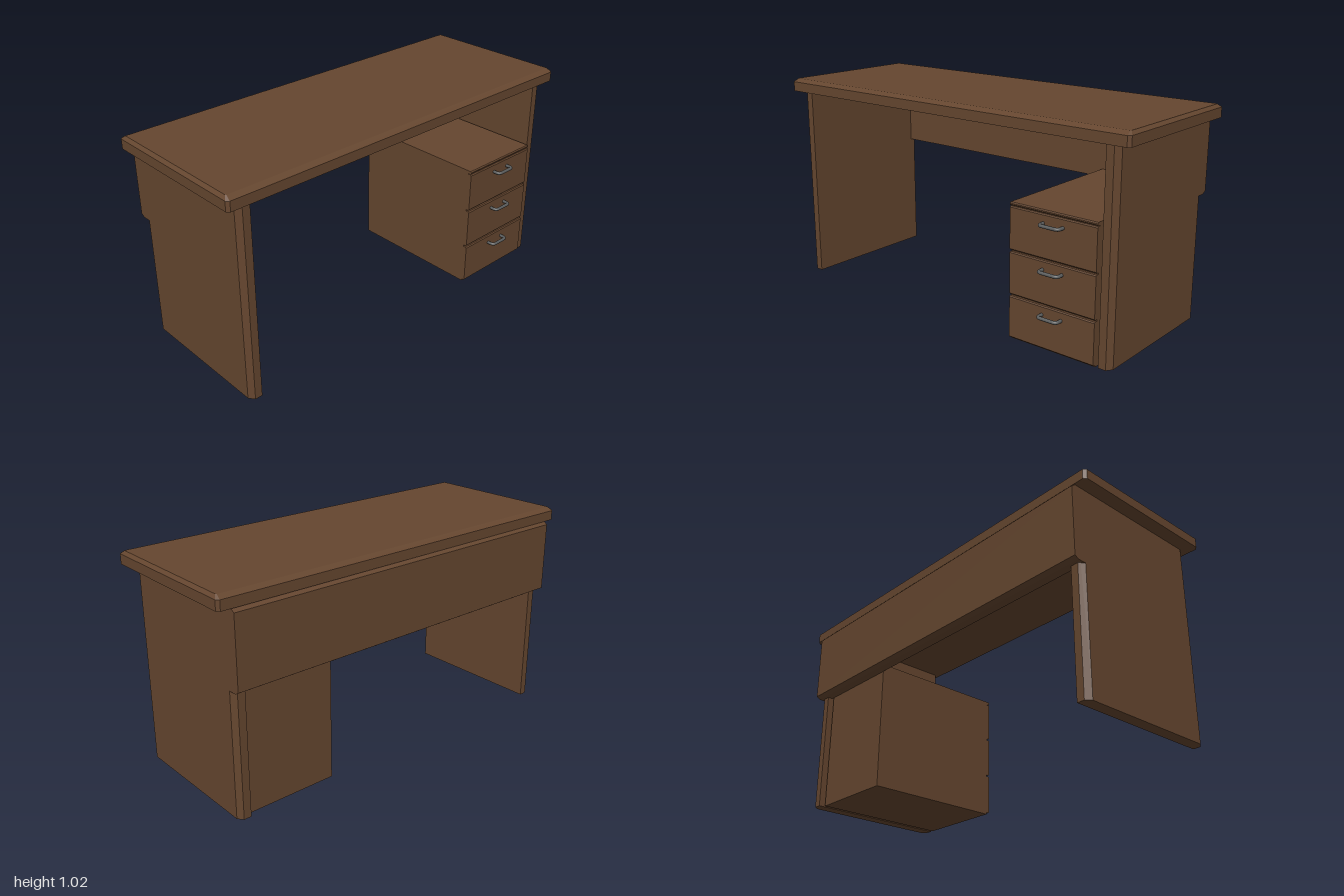
import * as THREE from 'three';

const wood = new THREE.MeshStandardMaterial({ color: 0x65462f });
const metal = new THREE.MeshStandardMaterial({ color: 0x5a5c5c });

function add(parent, name, geometry, material = wood) {
  const mesh = new THREE.Mesh(geometry, material);
  mesh.name = name;
  parent.add(mesh);
  return mesh;
}

function extrude(points, depth) {
  const shape = new THREE.Shape(points.map(([x, y]) => new THREE.Vector2(x, y)));
  return new THREE.ExtrudeGeometry(shape, { depth, bevelEnabled: false });
}

// Profile in x/y, running from z0 to z1
const alongZ = (points, z0, z1) => extrude(points, z1 - z0).translate(0, 0, z0);

// Outline in x/z, standing from y = 0 up to the given height
const upright = (points, height) =>
  extrude(points.map(([x, z]) => [x, -z]), height).rotateX(-Math.PI / 2);

// Rectangle outline with cut corners at a given height
function ring(y, hx, hz, c) {
  return [
    [hx, hz - c], [hx, c - hz], [hx - c, -hz], [c - hx, -hz],
    [-hx, c - hz], [-hx, hz - c], [c - hx, hz], [hx - c, hz],
  ].map(([x, z]) => [x, y, z]);
}

// Flat-shaded solid joining rings from bottom to top, capped at both ends
function loft(rings) {
  const pos = [];
  const tri = (a, b, c) => pos.push(...a, ...b, ...c);
  const n = rings[0].length;
  for (let r = 0; r < rings.length - 1; r++) {
    for (let i = 0; i < n; i++) {
      const j = (i + 1) % n;
      const [a, b, c, d] = [rings[r][i], rings[r][j], rings[r + 1][j], rings[r + 1][i]];
      tri(a, b, c);
      tri(a, c, d);
    }
  }
  const bottom = rings[0], top = rings[rings.length - 1];
  for (let i = 1; i < n - 1; i++) {
    tri(top[0], top[i], top[i + 1]);
    tri(bottom[0], bottom[i + 1], bottom[i]);
  }
  const geometry = new THREE.BufferGeometry();
  geometry.setAttribute('position', new THREE.Float32BufferAttribute(pos, 3));
  geometry.computeVertexNormals();
  return geometry;
}

// Thin front board, chamfered along its top and bottom outer edges
function frontBoard(y0, y1, z0, z1) {
  const back = 0.35, front = 0.367, c = 0.005;
  return alongZ([
    [back, y0], [front - c, y0], [front, y0 + c],
    [front, y1 - c], [front - c, y1], [back, y1],
  ], z0, z1);
}

// Bow handle with rounded corners, centred on y = z = 0
function handleGeometry() {
  const path = new THREE.CurvePath();
  const v = (x, z) => new THREE.Vector3(x, 0, z);
  const x0 = 0.362, x1 = 0.402, h = 0.05, r = 0.018;
  path.add(new THREE.LineCurve3(v(x0, -h), v(x1 - r, -h)));
  path.add(new THREE.QuadraticBezierCurve3(v(x1 - r, -h), v(x1, -h), v(x1, r - h)));
  path.add(new THREE.LineCurve3(v(x1, r - h), v(x1, h - r)));
  path.add(new THREE.QuadraticBezierCurve3(v(x1, h - r), v(x1, h), v(x1 - r, h)));
  path.add(new THREE.LineCurve3(v(x1 - r, h), v(x0, h)));
  return new THREE.TubeGeometry(path, 40, 0.008, 10, false);
}

export function createModel() {
  const desk = new THREE.Group();
  desk.name = 'desk';

  // Table top with a sloped upper edge and cut corners
  add(desk, 'tableTop', loft([
    ring(0.96, 0.387, 1, 0.013),
    ring(1.007, 0.387, 1, 0.013),
    ring(1.022, 0.36, 0.986, 0.004),
  ])).position.x = -0.012;

  // End panels, chamfered on their outer vertical edges
  for (const side of [1, -1]) {
    const outline = [
      [-0.375, 0.88], [0.35, 0.88], [0.35, 0.917],
      [0.323, 0.937], [-0.35, 0.937], [-0.375, 0.917],
    ].map(([x, z]) => [x, z * side]);
    add(desk, side > 0 ? 'leftEndPanel' : 'rightEndPanel', upright(outline, 0.96));
  }

  // Modesty panel across the back of the knee space
  add(desk, 'modestyPanel', alongZ([
    [-0.35, 0.598], [-0.392, 0.598], [-0.412, 0.61],
    [-0.412, 0.946], [-0.392, 0.96], [-0.35, 0.96],
  ], -0.937, 0.937));

  // Drawer pedestal
  const pedestal = new THREE.Group();
  pedestal.name = 'drawerPedestal';
  desk.add(pedestal);
  const z0 = -0.866, z1 = -0.421;
  add(pedestal, 'pedestalBody', new THREE.BoxGeometry(0.7, 0.637, z1 - z0))
    .position.set(0, 0.3185, (z0 + z1) / 2);
  add(pedestal, 'pedestalTopEdge', frontBoard(0.622, 0.637, z0, z1));

  // Drawers with their handles
  const handle = handleGeometry();
  for (let i = 0; i < 3; i++) {
    const y = 0.009 + i * 0.206;
    add(pedestal, 'drawerFront', frontBoard(y, y + 0.198, z0, z1));
    add(pedestal, 'drawerHandle', handle, metal).position.set(0, y + 0.157, -0.648);
  }
  return desk;
}
